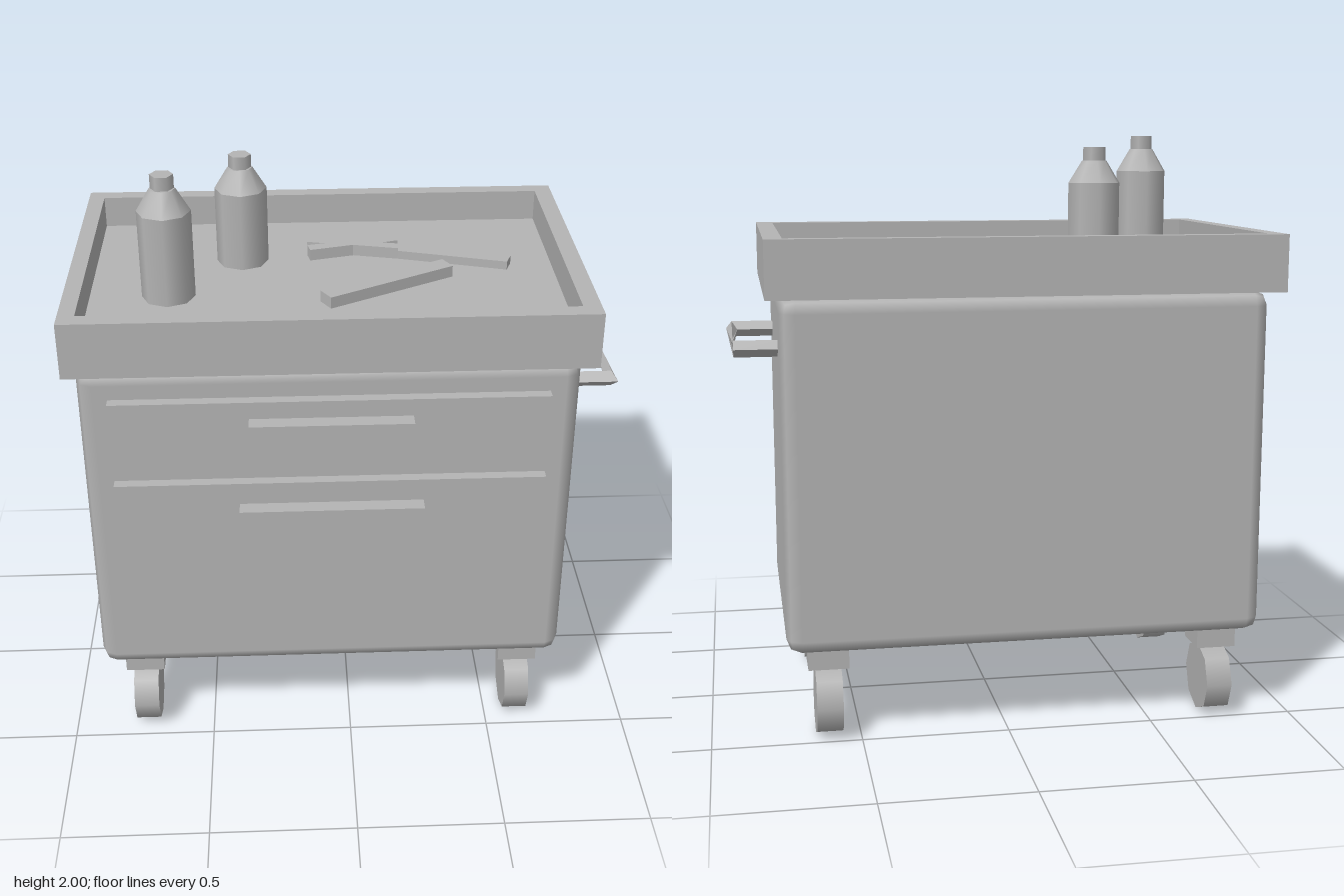
import * as THREE from 'three';
import { RoundedBoxGeometry } from 'three/addons/geometries/RoundedBoxGeometry.js';

const grey = new THREE.MeshStandardMaterial({ color: 0xb4b4b4 });
grey.name = 'grey';
const greyOpen = grey.clone();
greyOpen.side = THREE.DoubleSide;

export function createModel() {
  const root = new THREE.Group();
  root.name = 'toolCart';

  const add = (name, geo, material = grey, parent = root) => {
    const mesh = new THREE.Mesh(geo, material);
    mesh.name = name;
    parent.add(mesh);
    return mesh;
  };
  // Box given by its limits on each axis
  const box = (name, x0, x1, y0, y1, z0, z1) =>
    add(name, new THREE.BoxGeometry(x1 - x0, y1 - y0, z1 - z0)
      .translate((x0 + x1) / 2, (y0 + y1) / 2, (z0 + z1) / 2));
  // Flat plate from an outline of [x, z] points, with optional hole
  const plate = (name, points, y0, y1, hole) => {
    const toV = (p) => p.map(([x, z]) => new THREE.Vector2(x, -z));
    const shape = new THREE.Shape(toV(points));
    if (hole) shape.holes.push(new THREE.Path(toV(hole)));
    const geo = new THREE.ExtrudeGeometry(shape, { depth: y1 - y0, bevelEnabled: false });
    return add(name, geo.rotateX(-Math.PI / 2).translate(0, y0, 0));
  };
  const rect = (x0, x1, z0, z1) => [[x0, z1], [x1, z1], [x1, z0], [x0, z0]];

  // Cabinet
  add('cabinet', new RoundedBoxGeometry(1.625, 1.18, 1.015, 1, 0.05).translate(-0.067, 0.9, -0.022));

  // Top tray
  const floorY = 1.57;
  plate('trayRim', rect(-0.915, 0.79, -0.575, 0.525), 1.49, 1.68, rect(-0.86, 0.73, -0.52, 0.465));
  box('trayFloor', -0.86, 0.73, 1.49, floorY, -0.52, 0.465);

  // Drawers and pulls
  box('upperDrawer', -0.78, 0.645, 1.145, 1.39, 0.47, 0.522);
  box('lowerDrawer', -0.78, 0.645, 0.39, 1.085, 0.47, 0.522);
  box('upperPull', -0.33, 0.2, 1.285, 1.33, 0.522, 0.575);
  box('lowerPull', -0.37, 0.24, 0.96, 1.007, 0.522, 0.575);

  // Casters
  for (const x of [-0.737, 0.607]) {
    for (const z of [0.365, -0.407]) {
      box('casterBracket', x - 0.068, x + 0.068, 0.245, 0.315, z - 0.07, z + 0.07);
      add('casterWheel', new THREE.CylinderGeometry(0.122, 0.122, 0.088, 8)
        .rotateZ(Math.PI / 2).translate(x, 0.122, z));
    }
  }

  // Side handle: a diamond section swept round two corners, half a turn of twist in the bar
  const y = 1.307, r = 0.028;
  const section = (x, z, dx, dz, s = 1) =>
    [[x + s * dx, y, z + s * dz], [x, y + s * r, z], [x - s * dx, y, z - s * dz], [x, y - s * r, z]];
  const sections = [
    section(0.74, 0.257, 0, 0.027),
    section(0.893, 0.257, 0.02, 0.027),
    section(0.89, -0.31, 0, -0.027, -1),
    section(0.74, -0.31, 0, -0.027, -1),
  ];
  const verts = [];
  for (let i = 0; i < 3; i++) {
    for (let k = 0; k < 4; k++) {
      const a = sections[i][k], b = sections[i][(k + 1) % 4];
      const c = sections[i + 1][(k + 1) % 4], d = sections[i + 1][k];
      verts.push(...a, ...b, ...c, ...a, ...c, ...d);
    }
  }
  const sweep = new THREE.BufferGeometry();
  sweep.setAttribute('position', new THREE.Float32BufferAttribute(verts, 3));
  sweep.computeVertexNormals();
  add('sideHandle', sweep, greyOpen);

  // Bottles
  for (const [x, z, top, shoulder, neck] of [
    [-0.595, 0.095, 2.0, 1.875, 1.953],
    [-0.35, -0.19, 1.96, 1.84, 1.915],
  ]) {
    const bottle = new THREE.Group();
    bottle.name = 'bottle';
    bottle.position.set(x, 0, z);
    root.add(bottle);
    const tube = (name, rTop, rBottom, y0, y1, sides, start = 0) =>
      add(name, new THREE.CylinderGeometry(rTop, rBottom, y1 - y0, sides, 1, false, start)
        .translate(0, (y0 + y1) / 2, 0), grey, bottle);
    tube('bottleBody', 0.09, 0.09, floorY, shoulder, 8);
    tube('bottleShoulder', 0.043, 0.09, shoulder, neck, 8);
    tube('bottleCap', 0.039, 0.039, neck, top, 6, Math.PI / 2);
  }

  // Loose tools on the tray
  plate('wrenchHead', [
    [-0.108, -0.294], [0.04, -0.255], [0.191, -0.294], [0.2, -0.245], [0.142, -0.228], [0.2, -0.216],
    [0.196, -0.174], [0.04, -0.211], [-0.113, -0.172], [-0.122, -0.216], [-0.06, -0.23], [-0.122, -0.245],
  ], floorY, floorY + 0.04);
  plate('wrenchHandle', [[0.2, -0.24], [0.588, -0.118], [0.568, -0.064], [0.19, -0.176]], floorY, floorY + 0.03);
  plate('looseBar', [[-0.088, 0.162], [0.343, -0.074], [0.373, -0.015], [-0.054, 0.22]], floorY, floorY + 0.04);

  return root;
}
